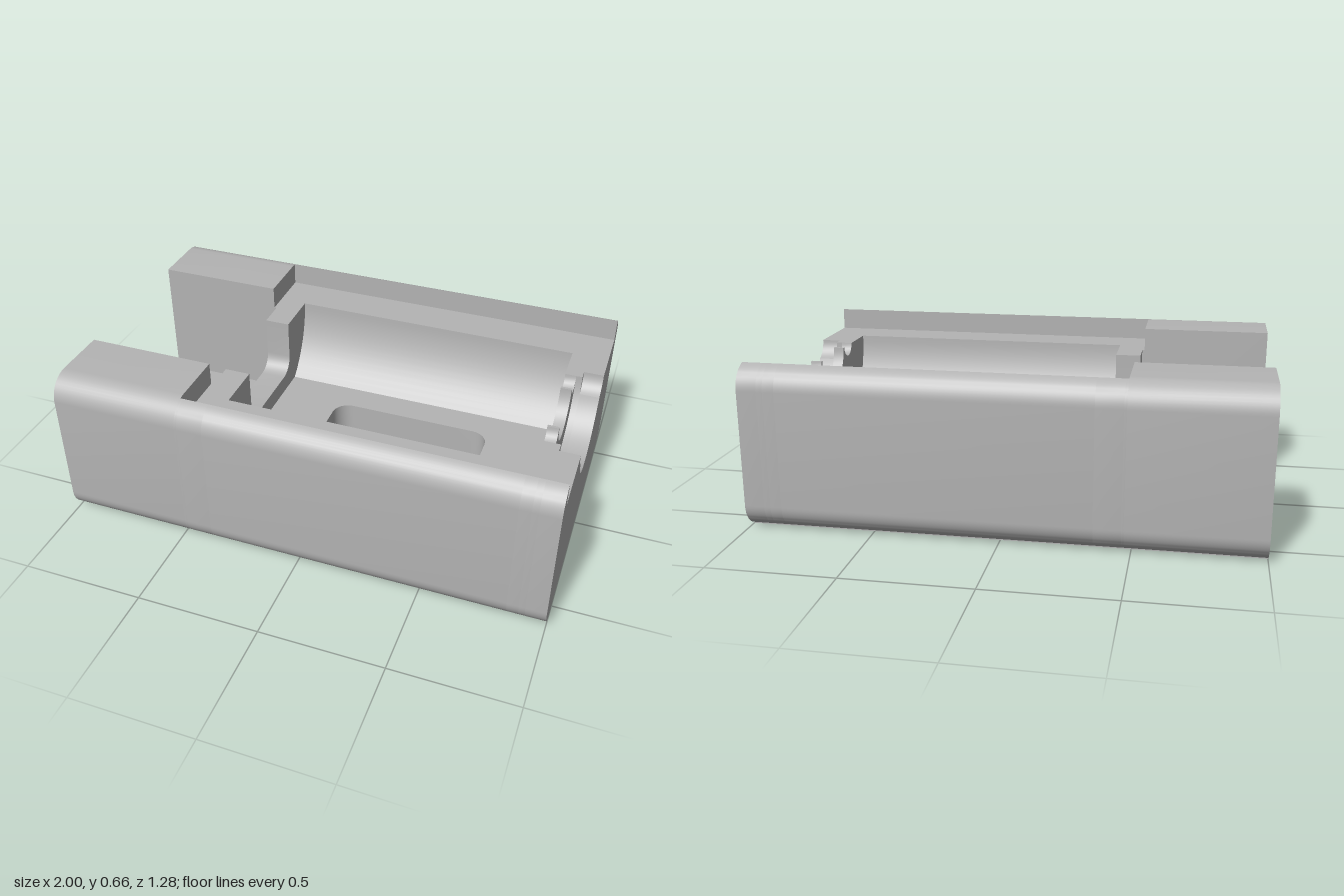
import * as THREE from 'three';
import { toCreasedNormals } from 'three/addons/utils/BufferGeometryUtils.js';

const TOP = 0.66, LEDGE = 0.565, BASE = 0.14, HALF = 0.64, R = 0.1, RAIL = 0.57;

// points on an arc, angles in degrees
function arc(cx, cy, r, a0, a1, n = 12) {
  return Array.from({ length: n + 1 }, (_, i) => {
    const a = THREE.MathUtils.degToRad(a0 + (a1 - a0) * i / n);
    return [cx + r * Math.cos(a), cy + r * Math.sin(a)];
  });
}

export function createModel() {
  const group = new THREE.Group();
  const grey = new THREE.MeshStandardMaterial({ color: 0xb4b4b4 });
  grey.name = 'grey';

  function add(name, geometry) {
    const mesh = new THREE.Mesh(toCreasedNormals(geometry, 0.5), grey);
    mesh.name = name;
    group.add(mesh);
  }

  // a z-y outline extruded along x
  function extrudeX(name, pts, x0, x1) {
    const shape = new THREE.Shape(pts.map(p => new THREE.Vector2(p[0], p[1])));
    const g = new THREE.ExtrudeGeometry(shape, { depth: x1 - x0, bevelEnabled: false });
    g.rotateY(Math.PI / 2).translate(x0, 0, 0);
    add(name, g);
  }

  // an x-z outline with holes extruded upwards
  function extrudeY(name, shape, y0, y1) {
    const g = new THREE.ExtrudeGeometry(shape, { depth: y1 - y0, bevelEnabled: false });
    g.rotateX(-Math.PI / 2).translate(0, y0, 0);
    add(name, g);
  }

  const mirror = pts => pts.map(([z, y]) => [-z, y]).reverse();

  // outer wall with rounded bottom and top edges
  const lowAngle = -THREE.MathUtils.radToDeg(Math.acos((RAIL - HALF + R) / R));
  const foot = [[RAIL, BASE], ...arc(HALF - R, R, R, lowAngle, 0)];
  const fullWall = [...foot, ...arc(HALF - R, TOP - R, R, 0, 90)];
  const rimWall = [...foot, ...arc(HALF - R, TOP - R, R, 0, 75.5), [LEDGE, LEDGE]];

  // two mirrored side walls
  function sides(name, wall, inner, x0, x1) {
    const pts = [...wall, ...inner];
    extrudeX(name + 'Left', pts, x0, x1);
    extrudeX(name + 'Right', mirror(pts), x0, x1);
  }
  // one full-width cross wall; the inner profile ends at z = 0
  function cross(name, inner, x0, x1) {
    const pts = [...rimWall, ...inner];
    extrudeX(name, [...pts, ...mirror(pts).slice(1)], x0, x1);
  }

  // rear blocks beside the open channel
  sides('rearBlock', fullWall, [[0.32, TOP], [0.32, BASE]], -1, -0.475);
  sides('rearStep', rimWall, [[0.32, LEDGE], [0.32, BASE]], -0.475, -0.465);

  // neck wall with a rounded U notch
  cross('neckWall', [[0.205, LEDGE], ...arc(0.135, 0.4, 0.07, 0, -90, 8), [0, 0.33]], -0.465, -0.36);

  // chamber sides, hollowed by a cylinder
  const floorZ = 0.255, floorY = LEDGE - Math.sqrt(0.4 ** 2 - floorZ ** 2);
  const endAngle = -THREE.MathUtils.radToDeg(Math.acos(floorZ / 0.4));
  sides('chamberSide', rimWall, [...arc(0, LEDGE, 0.4, 0, endAngle), [floorZ, BASE]], -0.36, 0.85);

  // end wall with a centre bore and two small grooves
  cross('endWall', [...arc(0.188, LEDGE, 0.047, 0, -180), ...arc(0, LEDGE, 0.13, 0, -90)], 0.85, 0.895);

  // wide socket, then the same socket with side notches
  cross('innerSocket', arc(0, LEDGE, 0.235, 0, -90, 20), 0.895, 0.92);
  cross('outerSocket', [
    ...arc(0.195, LEDGE, 0.08, 0, -69.7, 10),
    ...arc(0, LEDGE, 0.235, -18.6, -90, 18).slice(1),
  ], 0.92, 1);

  function rect(x0, x1, z) {
    return new THREE.Shape([[x0, -z], [x1, -z], [x1, z], [x0, z]].map(p => new THREE.Vector2(...p)));
  }
  // rounded slot through the floor
  function slot() {
    const x0 = -0.1, x1 = 0.58, z = 0.132, r = 0.07;
    const pts = [
      ...arc(x1 - r, z - r, r, 0, 90, 8), ...arc(x0 + r, z - r, r, 90, 180, 8),
      ...arc(x0 + r, r - z, r, 180, 270, 8), ...arc(x1 - r, r - z, r, 270, 360, 8),
    ];
    return new THREE.Path(pts.map(p => new THREE.Vector2(...p)));
  }

  // base plate with the slot and four hexagonal nut pockets
  const base = rect(-1, 1, RAIL);
  base.holes.push(slot());
  for (const x of [-0.1, 0.58]) {
    for (const z of [-0.463, 0.463]) {
      const hex = arc(x, z, 0.12, 0, 300, 5);
      base.holes.push(new THREE.Path(hex.map(p => new THREE.Vector2(...p))));
    }
  }
  extrudeY('basePlate', base, 0, BASE);

  // raised chamber floor
  const floor = rect(-0.36, 0.85, floorZ);
  floor.holes.push(slot());
  extrudeY('chamberFloor', floor, BASE, floorY);

  return group;
}
